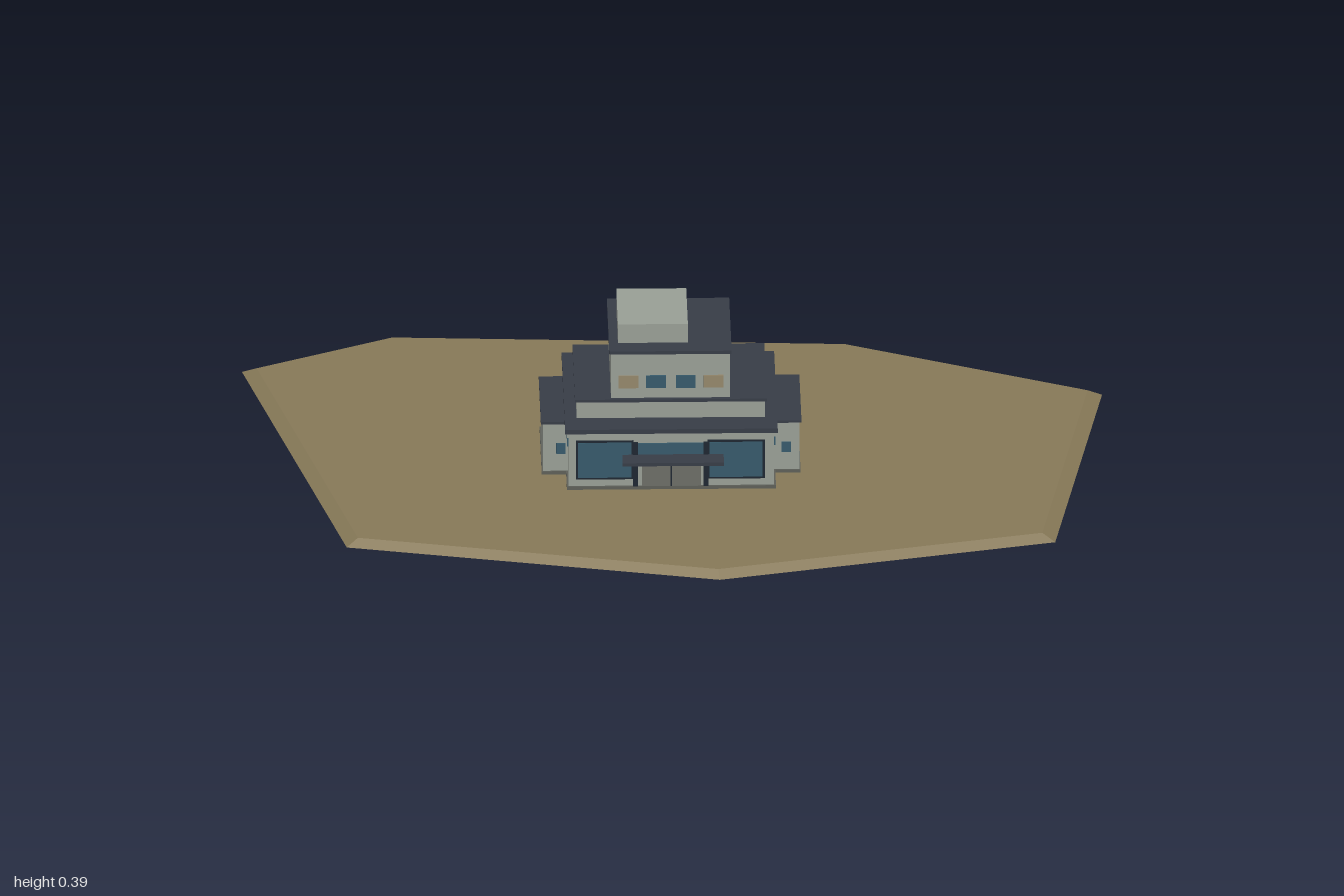
import * as THREE from 'three';

const mat = (name, color) => {
  const m = new THREE.MeshStandardMaterial({ color });
  m.name = name;
  return m;
};

export function createModel() {
  const model = new THREE.Group();
  model.name = 'terracedBuilding';
  const earth = mat('earth', 0x867857);
  const wall = mat('wall', 0x989e95);
  const roof = mat('roof', 0x373c46);
  const glass = mat('glass', 0x36596a);
  const litGlass = mat('warmGlass', 0x94866a);
  const frame = mat('frame', 0x1d2630);
  const door = mat('door', 0x6b6d66);
  const plinthMat = mat('plinth', 0x5d5f58);

  // Box given by its limits on each axis
  const box = (name, m, [x0, x1], [y0, y1], [z0, z1], parent = model) => {
    const mesh = new THREE.Mesh(new THREE.BoxGeometry(x1 - x0, y1 - y0, z1 - z0), m);
    mesh.position.set((x0 + x1) / 2, (y0 + y1) / 2, (z0 + z1) / 2);
    mesh.name = name;
    parent.add(mesh);
    return mesh;
  };

  // Ground plate: irregular seven-sided outline with a sloping rim
  const outline = [[-1, -0.53], [-0.67, -0.71], [0.42, -0.65], [1, -0.36],
    [0.875, 0.5], [0.09, 0.705], [-0.775, 0.5]];
  const low = outline.map(([x, z]) => [x, 0.001, z]);
  const high = outline.map(([x, z]) => [x * 0.966, 0.018, z * 0.966]);
  const pts = [];
  outline.forEach((_, i) => {
    const j = (i + 1) % outline.length;
    pts.push([0, 0.018, 0], high[j], high[i]);
    pts.push([0, 0.001, 0], low[i], low[j]);
    pts.push(low[i], high[i], low[j], low[j], high[i], high[j]);
  });
  const groundGeo = new THREE.BufferGeometry();
  groundGeo.setAttribute('position', new THREE.Float32BufferAttribute(pts.flat(), 3));
  groundGeo.computeVertexNormals();
  const ground = new THREE.Mesh(groundGeo, earth);
  ground.name = 'ground';
  model.add(ground);

  // Ground floor with plinth, cornice and overhanging roof
  box('plinth', plinthMat, [-0.257, 0.23], [0.002, 0.026], [-0.23, 0.212]);
  box('groundFloor', wall, [-0.253, 0.226], [0.02, 0.16], [-0.227, 0.208]);
  box('cornice', wall, [-0.257, 0.23], [0.15, 0.161], [-0.231, 0.213]);
  box('groundFloorRoof', roof, [-0.261, 0.234], [0.161, 0.172], [-0.236, 0.217]);
  box('coreFoundation', frame, [-0.155, 0.128], [0, 0.01], [-0.16, 0.145]);

  // Side wings
  for (const [x0, x1, r0, r1, w] of [
    [-0.311, -0.25, -0.316, -0.25, -0.269], [0.22, 0.286, 0.22, 0.291, 0.256]]) {
    const wing = new THREE.Group();
    wing.name = 'sideWing';
    model.add(wing);
    box('wingPlinth', plinthMat, [r0 + 0.002, r1 - 0.002], [0.002, 0.026], [-0.141, 0.121], wing);
    box('wingWall', wall, [x0, x1], [0.02, 0.146], [-0.138, 0.118], wing);
    box('wingRoof', roof, [r0, r1], [0.146, 0.152], [-0.144, 0.124], wing);
    box('wingWindow', glass, [w - 0.011, w + 0.011], [0.07, 0.096], [0.116, 0.121], wing);
  }

  // Upper tiers
  box('secondTier', wall, [-0.233, 0.206], [0.17, 0.213], [-0.167, 0.148]);
  box('secondTierRoof', roof, [-0.237, 0.21], [0.213, 0.22], [-0.172, 0.152]);
  box('thirdTier', wall, [-0.153, 0.124], [0.218, 0.332], [-0.158, 0.142]);
  box('thirdTierRoof', roof, [-0.157, 0.128], [0.332, 0.34], [-0.163, 0.147]);
  box('penthouse', wall, [-0.136, 0.027], [0.338, 0.387], [-0.112, 0.097]);

  // Row of four windows on the third tier
  [-0.112, -0.048, 0.021, 0.086].forEach((x, i) => {
    box('upperWindow', i % 3 === 0 ? litGlass : glass,
      [x - 0.023, x + 0.023], [0.246, 0.277], [0.139, 0.146]);
  });

  // Shop windows with dark frames and one mullion
  const framedWindow = (x0, x1) => {
    box('windowFrame', frame, [x0, x1], [0.043, 0.141], [0.204, 0.21]);
    box('windowPane', glass, [x0 + 0.005, x1 - 0.005], [0.048, 0.136], [0.206, 0.212]);
  };
  framedWindow(-0.236, -0.102);
  framedWindow(0.07, 0.204);

  // Entrance: doors, transom glass, posts and canopy
  box('transomWindow', glass, [-0.092, 0.063], [0.106, 0.134], [0.204, 0.211]);
  box('doors', door, [-0.082, 0.055], [0.026, 0.102], [0.204, 0.211]);
  box('doorSplit', frame, [-0.0155, -0.0125], [0.026, 0.102], [0.206, 0.213]);
  for (const x of [-0.097, 0.067]) {
    box('entrancePost', frame, [x - 0.006, x + 0.006], [0.026, 0.137], [0.204, 0.215]);
  }
  box('canopy', roof, [-0.128, 0.108], [0.098, 0.106], [0.205, 0.262]);

  // Small high windows on both side walls
  for (const x of [-0.253, 0.226]) {
    for (const [z0, z1] of [[0.126, 0.19], [-0.207, -0.146]]) {
      box('sideWindow', glass, [x - 0.003, x + 0.003], [0.118, 0.141], [z0, z1]);
    }
  }
  return model;
}
